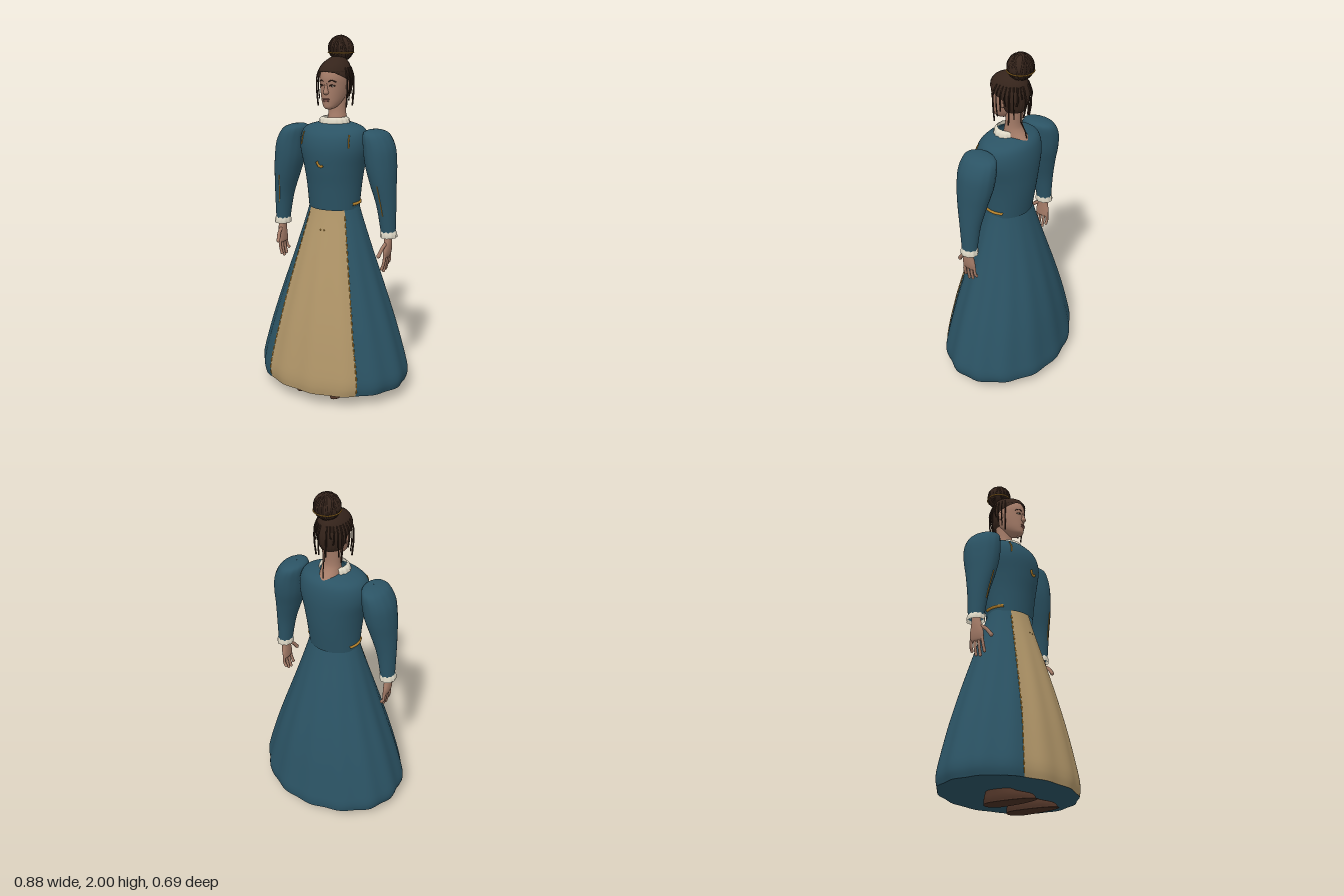
import * as THREE from 'three';

const mat = (name, color, side = THREE.FrontSide) => {
  const m = new THREE.MeshStandardMaterial({ color, side });
  m.name = name;
  return m;
};

// Section row: [y, centre x, centre z, half width, depth to front, depth to back], listed top to bottom
const sample = (rows, t) => {
  const f = t * (rows.length - 1), i = Math.min(Math.floor(f), rows.length - 2), u = f - i;
  const row = k => rows[Math.max(0, Math.min(rows.length - 1, k))];
  return rows[0].map((_, c) => {
    const a = row(i - 1)[c], b = row(i)[c], d = row(i + 1)[c], e = row(i + 2)[c];
    const v = b + 0.5 * u * (d - a + u * (2 * a - 5 * b + 4 * d - e + u * (3 * (b - d) + e - a)));
    return c > 2 ? Math.max(v, 0.001) : v;
  });
};
const pointOn = (r, th, k = 1) => {
  const c = Math.cos(th);
  return new THREE.Vector3(r[1] + r[3] * Math.sin(th) * k, r[0], r[2] + (c > 0 ? r[4] : r[5]) * c * k);
};
const rowAt = (rows, y) => {
  let lo = 0, hi = 1;
  for (let i = 0; i < 24; i++) {
    const m = (lo + hi) / 2;
    if (sample(rows, m)[0] > y) lo = m; else hi = m;
  }
  return sample(rows, lo);
};
const onFront = (rows, x, y, lift = 0.002) => {
  const r = rowAt(rows, y), p = pointOn(r, Math.asin((x - r[1]) / r[3]));
  p.z += lift;
  return p;
};

// Smooth surface through the rows; arc(y) gives start and end angle, flute(angle, y) a radius factor
function loft(rows, { arc = null, flute = () => 1, seg = 48, steps = 40 } = {}) {
  const pos = [], idx = [], cols = arc ? seg + 1 : seg;
  for (let i = 0; i <= steps; i++) {
    const r = sample(rows, i / steps), [a, b] = arc ? arc(r[0]) : [0, Math.PI * 2];
    for (let j = 0; j < cols; j++) {
      const th = a + (b - a) * j / seg;
      pos.push(...pointOn(r, th, flute(th, r[0])).toArray());
    }
  }
  for (let i = 0; i < steps; i++) for (let j = 0; j < seg; j++) {
    const a = i * cols + j, b = i * cols + (j + 1) % cols;
    idx.push(a, a + cols, b + cols, a, b + cols, b);
  }
  const g = new THREE.BufferGeometry();
  g.setAttribute('position', new THREE.Float32BufferAttribute(pos, 3));
  g.setIndex(idx);
  g.computeVertexNormals();
  return g;
}
const tube = (pts, r, n = 12) => new THREE.TubeGeometry(new THREE.CatmullRomCurve3(pts), n, r, 6);
const V = (x, y, z) => new THREE.Vector3(x, y, z);

export function createModel() {
  const model = new THREE.Group();
  model.name = 'gownedFigure';
  const teal = mat('tealCloth', 0x2b5364, THREE.DoubleSide), tan = mat('tanCloth', 0xb09568, THREE.DoubleSide);
  const skin = mat('skin', 0xa57c68), hair = mat('darkHair', 0x35241b, THREE.DoubleSide);
  const gold = mat('goldTrim', 0xb5822c), cream = mat('creamLinen', 0xdcd6c4, THREE.DoubleSide);
  const leather = mat('brownLeather', 0x4a3024), lip = mat('lips', 0x8a5a50);
  const add = (name, geo, m, parent = model) => {
    const mesh = new THREE.Mesh(geo, m);
    mesh.name = name;
    parent.add(mesh);
    return mesh;
  };
  const ball = (name, m, p, sx, sy, sz) => {
    const b = add(name, new THREE.SphereGeometry(1, 24, 16), m);
    b.position.set(...p);
    b.scale.set(sx, sy, sz);
    return b;
  };

  // Skirt with inset front panel
  const skirt = [
    [1.1, 0, 0, 0.14, 0.105, 0.105], [1.0, 0, 0, 0.168, 0.132, 0.135], [0.8, 0, 0, 0.232, 0.192, 0.195],
    [0.6, 0, 0, 0.3, 0.247, 0.25], [0.4, 0, 0, 0.367, 0.295, 0.295], [0.2, 0, 0, 0.425, 0.333, 0.328],
    [0.12, 0, 0, 0.438, 0.342, 0.34], [0.07, 0, 0, 0.425, 0.338, 0.338],
  ];
  const fold = (th, y) => 1 + (0.012 * Math.sin(14 * th + 0.6) + 0.006 * Math.sin(5 * th)) * Math.min(1, (1.12 - y) / 0.5);
  const edge = y => 0.69 + 0.1 * Math.max(0, (y - 0.4) / 0.7);
  add('skirtOverlay', loft(skirt, { arc: y => [edge(y), Math.PI * 2 - edge(y)], flute: fold, seg: 120 }), teal);
  add('skirtFrontPanel', loft(skirt, { arc: y => [-edge(y), edge(y)], flute: fold, seg: 48 }), tan);
  add('skirtUnderside', loft([skirt[7], [0.072, 0, 0, 0.002, 0.002, 0.002]], { flute: fold, seg: 120, steps: 4 }), teal);

  // Stitched gold edges of the panel
  for (const s of [-1, 1]) for (let i = 0; i < 26; i++) {
    const pts = [0, 0.5, 1].map(u => {
      const y = 1.04 - 0.037 * (i + 0.7 * u), th = s * edge(y);
      return pointOn(rowAt(skirt, y), th, fold(th, y));
    });
    add('panelStitch', tube(pts, 0.0035, 3), gold);
  }

  // Bodice
  const bodice = [
    [1.545, 0, 0, 0.06, 0.06, 0.06], [1.535, 0, 0, 0.1, 0.085, 0.1], [1.512, 0, 0, 0.165, 0.115, 0.135],
    [1.47, 0, 0, 0.192, 0.148, 0.153], [1.4, 0, 0, 0.195, 0.164, 0.16], [1.3, 0, 0, 0.172, 0.158, 0.155],
    [1.2, 0, 0, 0.156, 0.144, 0.144], [1.07, 0, 0, 0.145, 0.13, 0.122],
  ];
  add('bodice', loft(bodice, { seg: 64 }), teal);
  for (const s of [-1, 1]) {
    const dart = [1.49, 1.455, 1.42].map(y => onFront(bodice, s * (0.145 + (1.42 - y) * 0.1), y));
    add('bodiceDart', tube(dart, 0.004), gold);
    const belt = [-0.5, -0.2, 0.1, 0.4].map(a => pointOn([1.1, 0, 0, 0.147, 0.135, 0.128], s * (Math.PI / 2 - a)));
    add('waistClasp', tube(belt, 0.009), gold);
  }
  const crescent = [[-0.022, 1.345], [-0.012, 1.325], [0.004, 1.318], [0.018, 1.326]];
  add('brooch', tube(crescent.map(([x, y]) => onFront(bodice, x, y)), 0.007), gold);
  for (const x of [-0.012, 0.012]) ball('panelButton', gold, onFront(skirt, x, 0.96, 0).toArray(), 0.004, 0.004, 0.004);

  // Collar, open behind
  add('collar', loft([[1.57, 0, 0, 0.062, 0.062, 0.06], [1.56, 0, 0, 0.08, 0.073, 0.07], [1.534, 0, 0, 0.088, 0.08, 0.075]],
    { arc: () => [-2.4, 2.4], flute: th => 1 + 0.02 * Math.sin(16 * th), seg: 96, steps: 8 }), cream);

  // Arms: sleeve, cuff, hand, and shoe of each side
  for (const s of [-1, 1]) {
    const side = s > 0 ? 'left' : 'right', flip = rows => rows.map(r => [r[0], s * r[1], ...r.slice(2)]);
    const sleeve = flip([
      [1.514, 0.235, -0.005, 0.002, 0.002, 0.002], [1.508, 0.237, -0.005, 0.04, 0.06, 0.06],
      [1.485, 0.25, -0.005, 0.068, 0.094, 0.1], [1.42, 0.27, -0.003, 0.083, 0.106, 0.112],
      [1.33, 0.283, 0, 0.083, 0.104, 0.105], [1.23, 0.3, 0.005, 0.07, 0.088, 0.085],
      [1.1, 0.322, 0.005, 0.052, 0.063, 0.058], [0.95, 0.335, 0.005, 0.039, 0.044, 0.044],
    ]);
    add(side + 'Sleeve', loft(sleeve, { flute: (th, y) => 1 + 0.012 * Math.sin(14 * th) * Math.max(0, (y - 1.2) / 0.3) }), teal);
    const seam = [1.23, 1.18, 1.12, 1.06].map(y => onFront(sleeve, s * (0.303 + (1.23 - y) * 0.13), y));
    add(side + 'SleeveSeam', tube(seam, 0.003), gold);
    add(side + 'Cuff', loft(flip([[0.968, 0.334, 0.005, 0.04, 0.045, 0.045], [0.95, 0.336, 0.005, 0.045, 0.05, 0.048],
      [0.932, 0.337, 0.005, 0.045, 0.05, 0.05]]), { flute: th => 1 + 0.04 * Math.sin(10 * th), steps: 6 }), cream);
    add(side + 'Palm', loft(flip([
      [0.96, 0.335, 0.005, 0.02, 0.025, 0.025], [0.91, 0.337, 0.01, 0.02, 0.032, 0.03],
      [0.86, 0.335, 0.012, 0.018, 0.042, 0.042], [0.825, 0.331, 0.012, 0.013, 0.04, 0.04],
      [0.815, 0.33, 0.012, 0.004, 0.03, 0.03],
    ]), { seg: 24, steps: 20 }), skin);
    for (let f = 0; f < 4; f++) {
      const z = -0.022 + f * 0.022, tip = [0.768, 0.742, 0.735, 0.752][f];
      const pts = [V(s * 0.333, 0.84, z), V(s * 0.33, 0.79, z * 1.15), V(s * 0.32, tip + 0.006, z * 1.2)];
      add(side + 'Finger', tube(pts, 0.0085), skin);
      ball(side + 'Fingertip', skin, pts[2].toArray(), 0.0085, 0.0095, 0.0085);
    }
    const thumb = [V(s * 0.335, 0.905, 0.025), V(s * 0.328, 0.88, 0.065), V(s * 0.318, 0.842, 0.093)];
    add(side + 'Thumb', tube(thumb, 0.011), skin);
    ball(side + 'ThumbTip', skin, thumb[2].toArray(), 0.011, 0.012, 0.011);
    add(side + 'Shoe', loft(flip([
      [0.1, 0.108, -0.01, 0.038, 0.05, 0.05], [0.065, 0.108, 0, 0.05, 0.11, 0.068], [0.035, 0.108, 0, 0.058, 0.2, 0.074],
      [0.012, 0.108, 0, 0.058, 0.222, 0.075], [0.002, 0.108, 0, 0.052, 0.214, 0.07], [0, 0.108, 0, 0.002, 0.002, 0.002],
    ])), leather);
  }

  // Neck and head
  add('neck', loft([
    [1.7, 0, -0.035, 0.05, 0.045, 0.05], [1.61, 0, -0.032, 0.048, 0.044, 0.043],
    [1.565, 0, -0.03, 0.052, 0.05, 0.056], [1.52, 0, -0.03, 0.06, 0.06, 0.095],
  ]), skin);
  const head = [
    [1.872, 0, -0.02, 0.002, 0.002, 0.002], [1.862, 0, -0.02, 0.035, 0.05, 0.045], [1.83, 0, -0.01, 0.062, 0.092, 0.085],
    [1.785, 0, 0, 0.073, 0.1, 0.103], [1.74, 0, 0, 0.072, 0.098, 0.1], [1.69, 0, 0.008, 0.063, 0.09, 0.085],
    [1.65, 0, 0.028, 0.049, 0.068, 0.06], [1.622, 0, 0.052, 0.028, 0.038, 0.04], [1.612, 0, 0.058, 0.002, 0.002, 0.002],
  ];
  add('head', loft(head), skin);

  // Face
  add('nose', loft([[1.755, 0, 0.09, 0.008, 0.012, 0.01], [1.725, 0, 0.092, 0.011, 0.018, 0.01],
    [1.705, 0, 0.092, 0.016, 0.025, 0.01], [1.693, 0, 0.09, 0.004, 0.006, 0.004]], { seg: 16, steps: 14 }), skin);
  ball('upperLip', lip, onFront(head, 0, 1.672, -0.001).toArray(), 0.021, 0.005, 0.007);
  ball('lowerLip', lip, onFront(head, 0, 1.662, 0).toArray(), 0.017, 0.006, 0.007);
  for (const s of [-1, 1]) {
    const line = (pts, r) => tube(pts.map(([x, y]) => onFront(head, s * x, y, 0)), r);
    add('eyebrow', line([[0.014, 1.764], [0.03, 1.772], [0.05, 1.762]], 0.003), hair);
    add('eyelid', line([[0.017, 1.742], [0.031, 1.748], [0.046, 1.741]], 0.0028), hair);
    ball('eyeWhite', cream, onFront(head, s * 0.031, 1.742, -0.002).toArray(), 0.011, 0.004, 0.005);
    ball('iris', hair, onFront(head, s * 0.031, 1.742, 0.001).toArray(), 0.004, 0.004, 0.003);
    ball('ear', skin, [s * 0.074, 1.735, -0.012], 0.009, 0.026, 0.016);
  }

  // Hair: crown, swept back, bun with band
  const cap = [
    [1.89, 0, -0.035, 0.002, 0.002, 0.002], [1.883, 0, -0.033, 0.036, 0.05, 0.045], [1.85, 0, -0.015, 0.069, 0.095, 0.088],
    [1.805, 0, -0.002, 0.086, 0.108, 0.113], [1.76, 0, -0.002, 0.085, 0.104, 0.115], [1.71, 0, -0.006, 0.074, 0.09, 0.1],
    [1.68, 0, -0.015, 0.058, 0.06, 0.075],
  ];
  const hairline = y => y > 1.815 ? 0 : Math.min(1.75, 0.5 + (1.815 - y) * 22);
  add('hairCrown', loft(cap, { arc: y => [hairline(y), Math.PI * 2 - hairline(y)], seg: 72, steps: 48,
    flute: th => 1 + 0.012 * Math.sin(30 * th) }), hair);
  ball('hairBun', hair, [0, 1.929, -0.073], 0.07, 0.069, 0.068);
  for (let i = 0; i < 9; i++) {
    const braid = add('bunBraid', new THREE.TorusGeometry(0.066, 0.0055, 6, 40), hair);
    braid.position.set(0, 1.929, -0.073);
    braid.rotation.set(0.35 * Math.sin(i * 2), i * Math.PI / 9, 0);
  }
  const band = add('bunBand', new THREE.TorusGeometry(0.07, 0.003, 6, 48), gold);
  band.position.set(0, 1.908, -0.073);
  band.rotation.x = Math.PI / 2;

  // Loose tendrils around the sides and nape
  for (const s of [-1, 1]) for (let i = 0; i < 9; i++) {
    const th = s * (1.3 + i * 0.2), low = 1.625 + 0.035 * ((i * 5) % 4) + (i > 5 ? 0.04 : 0);
    const r = rowAt(cap, 1.79), a = pointOn(rowAt(cap, 1.835), th), b = pointOn(r, th, 1.07), c = pointOn(r, th, 1.1);
    const d = pointOn(r, th + 0.06 * Math.sin(i * 3), 1.02);
    c.y = (1.8 + low) / 2;
    d.y = low;
    add('tendril', tube([a, b, c, d], 0.0045 - 0.0012 * (i % 2), 14), hair);
  }
  add('napeStrand', tube([V(0.01, 1.69, -0.085), V(0.012, 1.62, -0.09), V(0.005, 1.58, -0.108), V(0, 1.535, -0.118)], 0.003), hair);
  return model;
}
